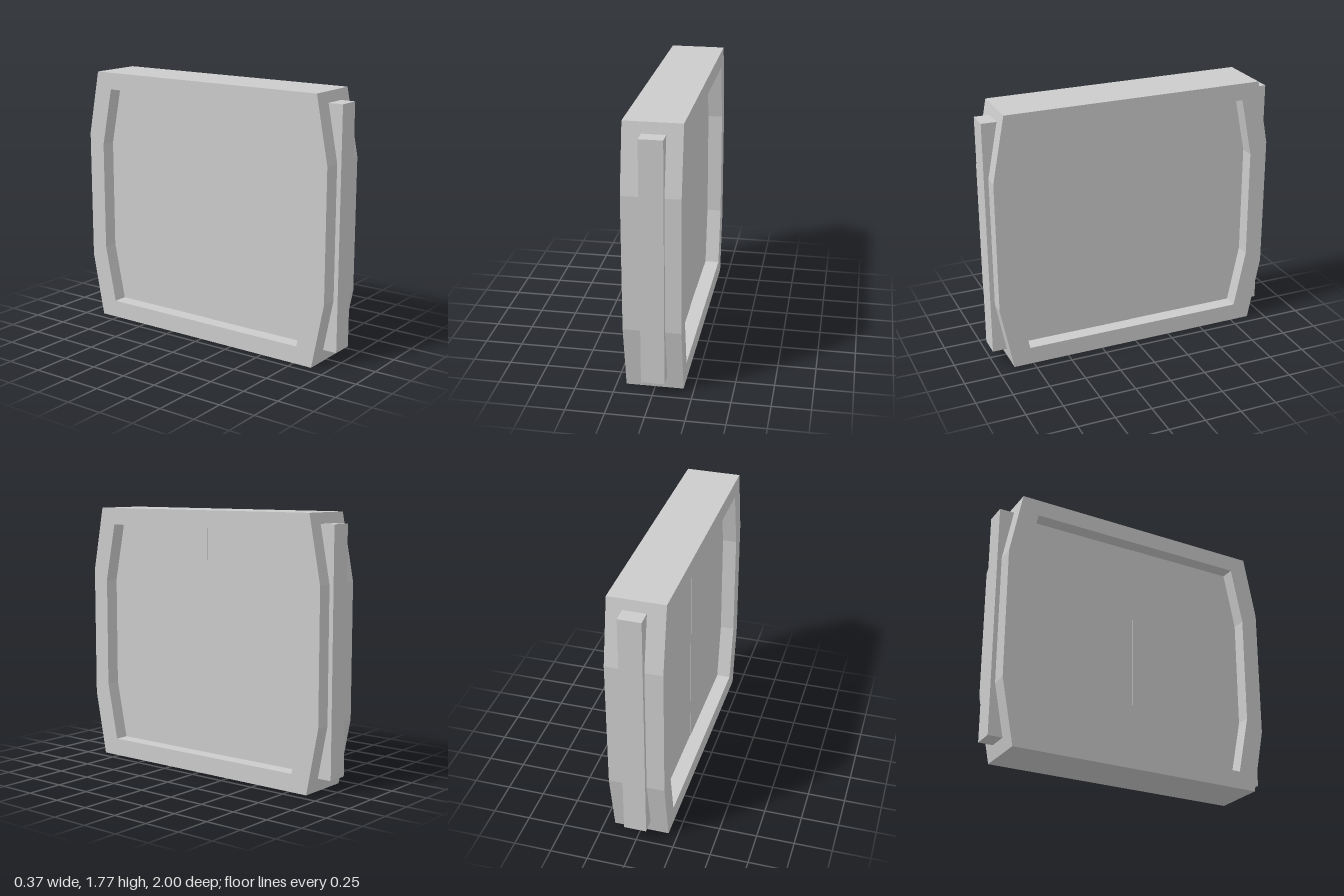
import * as THREE from 'three';

const material = new THREE.MeshStandardMaterial({ color: 0xcccccc, flatShading: true });

// Outlines are drawn as (z, y) points and extruded across x, centred on centreX.
function addSlab(group, name, shape, thickness, centreX) {
  const geometry = new THREE.ExtrudeGeometry(shape, { depth: thickness, bevelEnabled: false });
  geometry.translate(0, 0, -thickness / 2).rotateY(-Math.PI / 2).translate(centreX, 0, 0);
  const mesh = new THREE.Mesh(geometry, material);
  mesh.name = name;
  group.add(mesh);
}

// One bowed side, listed from bottom to top.
const outerSide = [[0.885, 0], [0.97, 0.44], [0.97, 1.33], [0.885, 1.77]];
const innerSide = [[0.77, 0.12], [0.85, 0.515], [0.85, 1.26], [0.77, 1.655]];

const toPoints = (side, sign = 1) => side.map(([z, y]) => new THREE.Vector2(sign * z, y));
const bowedOutline = (side) => [...toPoints(side), ...toPoints(side, -1).reverse()];

export function createModel() {
  const group = new THREE.Group();
  group.name = 'doubleDoor';

  // Frame with a bowed opening
  const frame = new THREE.Shape(bowedOutline(outerSide));
  frame.holes.push(new THREE.Path(bowedOutline(innerSide)));
  addSlab(group, 'frame', frame, 0.37, -0.0025);

  for (const sign of [1, -1]) {
    const end = sign > 0 ? 'front' : 'back';

    // Recessed door leaf; the front leaf is a hair thicker, which leaves the centre seam
    const leaf = new THREE.Shape([
      new THREE.Vector2(0, 0.12),
      ...toPoints(innerSide, sign),
      new THREE.Vector2(0, 1.655),
    ]);
    addSlab(group, `${end}Leaf`, leaf, sign > 0 ? 0.176 : 0.17, -0.0025);

    // Upright bar on the end of the frame
    const bar = new THREE.Mesh(new THREE.BoxGeometry(0.15, 1.61, 0.11), material);
    bar.position.set(0.005, 0.895, sign * 0.945);
    bar.name = `${end}Bar`;
    group.add(bar);
  }

  return group;
}
